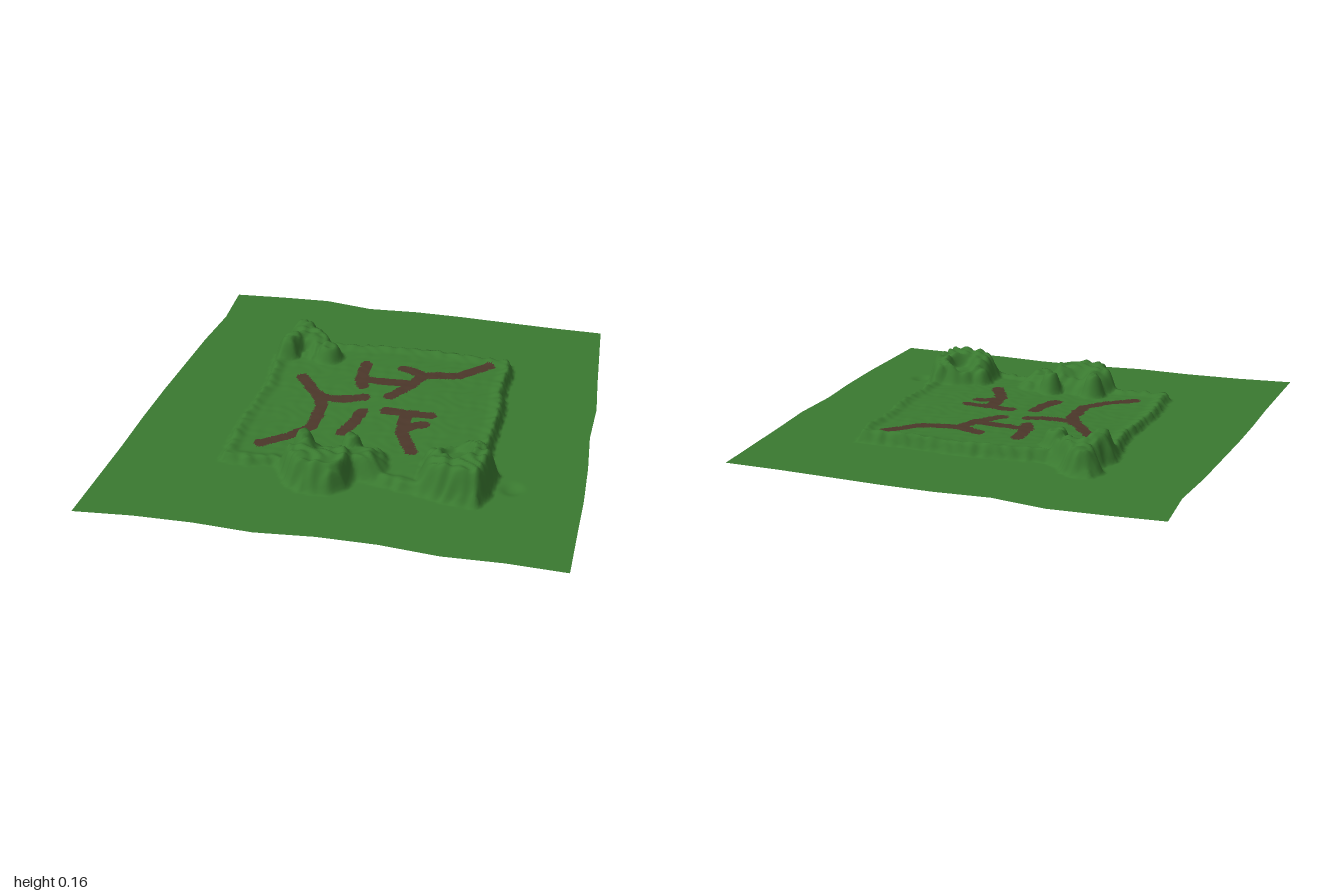
import * as THREE from 'three';

const N = 200;           // grid cells per side
const GROUND = 0.012;

// Wobbly sheet borders, evenly spaced samples
const backZ = [-0.965, -0.985, -0.998, -0.962, -0.98, -0.98, -0.972, -0.965, -0.965];
const frontZ = [0.998, 0.972, 0.963, 0.972, 0.945, 0.94, 0.958, 0.945, 0.95];
const leftX = [-0.92, -0.91, -0.935, -0.95, -0.965, -0.975, -0.98, -0.99, -1];
const rightX = [0.92, 0.935, 0.95, 0.968, 0.962, 0.978, 0.985, 0.983, 0.982];

// Foot of the raised plateau, as x, z corners
const outline = [
  [-0.56, -0.56], [-0.52, -0.64], [-0.45, -0.655], [-0.38, -0.61], [-0.36, -0.56], [-0.29, -0.52],
  [-0.15, -0.535], [0.1, -0.56], [0.3, -0.54], [0.55, -0.55], [0.575, -0.45], [0.56, -0.3],
  [0.58, -0.1], [0.58, 0.25], [0.635, 0.38], [0.62, 0.55], [0.58, 0.63], [0.45, 0.615],
  [0.2, 0.56], [0.06, 0.54], [0.04, 0.62], [-0.02, 0.67], [-0.15, 0.67], [-0.22, 0.63],
  [-0.27, 0.55], [-0.31, 0.51], [-0.4, 0.53], [-0.54, 0.52], [-0.555, 0.3], [-0.55, 0.1],
  [-0.53, -0.1], [-0.55, -0.3], [-0.565, -0.42], [-0.53, -0.5],
];

// Hills: x, z, flat radius, falloff width, height
const hills = [
  [0.5, 0.47, 0.13, 0.1, 0.135], [0.36, 0.38, 0.03, 0.05, 0.09], [0.54, 0.34, 0.04, 0.05, 0.12],
  [-0.11, 0.54, 0.12, 0.08, 0.115], [0.05, 0.46, 0.04, 0.13, 0.09],
  [-0.2, 0.39, 0.02, 0.05, 0.12], [0, 0.37, 0.02, 0.05, 0.115], [0.1, 0.4, 0.03, 0.06, 0.06],
  [-0.46, -0.56, 0.11, 0.06, 0.1], [-0.49, -0.4, 0.05, 0.05, 0.115], [-0.4, -0.45, 0.07, 0.07, 0.09],
  [-0.29, -0.38, 0.03, 0.06, 0.1],
];
// Hollows sunk into the hills
const hollows = [[0.45, 0.385, 0.04, 0.04, 0.05], [-0.41, -0.38, 0.02, 0.04, 0.05], [-0.1, 0.43, 0.03, 0.05, 0.04]];

// Dirt tracks as x, z polylines
const tracks = [
  [[-0.37, -0.19], [-0.25, -0.04], [-0.22, 0.03], [-0.22, 0.2], [-0.3, 0.3], [-0.4, 0.375]],
  [[-0.24, -0.03], [-0.12, -0.04], [-0.05, -0.07]],
  [[-0.035, 0.05], [-0.045, 0.13], [-0.08, 0.22]],
  [[-0.105, -0.355], [-0.1, -0.22], [-0.08, -0.165]],
  [[-0.1, -0.22], [0.14, -0.22], [0.06, -0.1]],
  [[0.14, -0.22], [0.175, -0.31], [0.07, -0.35]],
  [[0.175, -0.31], [0.33, -0.34], [0.45, -0.46]],
  [[0.07, 0.02], [0.27, 0.025]],
  [[0.16, 0.03], [0.17, 0.17], [0.24, 0.31]],
  [[0.18, 0.14], [0.25, 0.1]],
];

const smooth = THREE.MathUtils.smoothstep;

function sample(list, t) {
  const f = t * (list.length - 1), i = Math.min(Math.floor(f), list.length - 2);
  return THREE.MathUtils.lerp(list[i], list[i + 1], f - i);
}

function segmentDistance(x, z, [ax, az], [bx, bz]) {
  const dx = bx - ax, dz = bz - az;
  const t = THREE.MathUtils.clamp(((x - ax) * dx + (z - az) * dz) / (dx * dx + dz * dz), 0, 1);
  return Math.hypot(x - ax - t * dx, z - az - t * dz);
}

// Distance inwards from the plateau foot, or 0 outside it
function insetDistance(x, z) {
  let inside = false, best = Infinity;
  outline.forEach((a, i) => {
    const b = outline[(i + 1) % outline.length];
    best = Math.min(best, segmentDistance(x, z, a, b));
    if ((a[1] > z) !== (b[1] > z) && x < a[0] + (z - a[1]) * (b[0] - a[0]) / (b[1] - a[1])) inside = !inside;
  });
  return inside ? best : 0;
}

function bump(x, z, [cx, cz, r, w, h]) {
  return h * (1 - smooth(Math.hypot(x - cx, z - cz), r, r + w));
}

// Ripples that roughen the cliffs
function ripple(x, z) {
  return Math.sin(47 * x + 3 * Math.sin(31 * z)) * Math.cos(53 * z + 2 * Math.sin(29 * x));
}

function height(x, z) {
  const dip = 0.012 * (1 - smooth(Math.hypot(x - 0.69, z - 0.45), 0.01, 0.06));
  const r = ripple(x, z);
  const d = insetDistance(x, z);
  if (d === 0) return GROUND - dip;
  // Floor is highest at the back left, with a low lip round the rim
  const floor = 0.02 + 0.018 * smooth(x - z, -0.7, 0.5);
  const lip = 0.013 * (1 - smooth(d, 0.03, 0.08)) * (1 + 0.3 * r);
  let hill = 0;
  for (const h of hills) hill = Math.max(hill, bump(x, z, h));
  for (const h of hollows) hill -= bump(x, z, h);
  hill = Math.max(hill, 0) * (1 + 0.09 * r);
  const top = Math.max(floor + lip, hill) + 0.0015 * r;
  return GROUND + top * smooth(d + 0.006 * r, 0, 0.028 + 0.25 * hill);
}

function isTrack(x, z) {
  const radius = 0.028 + 0.003 * ripple(x * 0.7, z * 0.7);
  return tracks.some((p) => p.some((a, i) => i > 0 && segmentDistance(x, z, p[i - 1], a) < radius));
}

export function createModel() {
  const grass = new THREE.MeshStandardMaterial({ color: 0x3a7a30, side: THREE.DoubleSide });
  grass.name = 'grass green';
  const dirt = new THREE.MeshStandardMaterial({ color: 0x4c372a, side: THREE.DoubleSide });
  dirt.name = 'dirt brown';

  // Height grid stretched between the four borders
  const points = [];
  for (let j = 0; j <= N; j++) {
    for (let i = 0; i <= N; i++) {
      const u = i / N, v = j / N;
      const x = THREE.MathUtils.lerp(sample(leftX, v), sample(rightX, v), u);
      const z = THREE.MathUtils.lerp(sample(backZ, u), sample(frontZ, u), v);
      points.push(x, height(x, z), z);
    }
  }

  // Sort triangles into grass and dirt
  const grassFaces = [], dirtFaces = [];
  const addFace = (...ids) => {
    const x = ids.reduce((s, k) => s + points[3 * k], 0) / 3;
    const z = ids.reduce((s, k) => s + points[3 * k + 2], 0) / 3;
    (isTrack(x, z) ? dirtFaces : grassFaces).push(...ids);
  };
  for (let j = 0; j < N; j++) {
    for (let i = 0; i < N; i++) {
      const a = j * (N + 1) + i, b = a + 1, c = a + N + 1, d = c + 1;
      addFace(a, c, b);
      addFace(b, c, d);
    }
  }

  // Shared smooth normals keep the two surfaces seamless
  const whole = new THREE.BufferGeometry();
  whole.setAttribute('position', new THREE.Float32BufferAttribute(points, 3));
  whole.setIndex([...grassFaces, ...dirtFaces]);
  whole.computeVertexNormals();

  const group = new THREE.Group();
  group.name = 'terrain';
  const addSurface = (name, faces, material) => {
    const geometry = new THREE.BufferGeometry();
    geometry.setAttribute('position', whole.getAttribute('position'));
    geometry.setAttribute('normal', whole.getAttribute('normal'));
    geometry.setIndex(faces);
    const mesh = new THREE.Mesh(geometry, material);
    mesh.name = name;
    group.add(mesh);
  };
  addSurface('grassland', grassFaces, grass);
  addSurface('dirtTracks', dirtFaces, dirt);
  return group;
}
